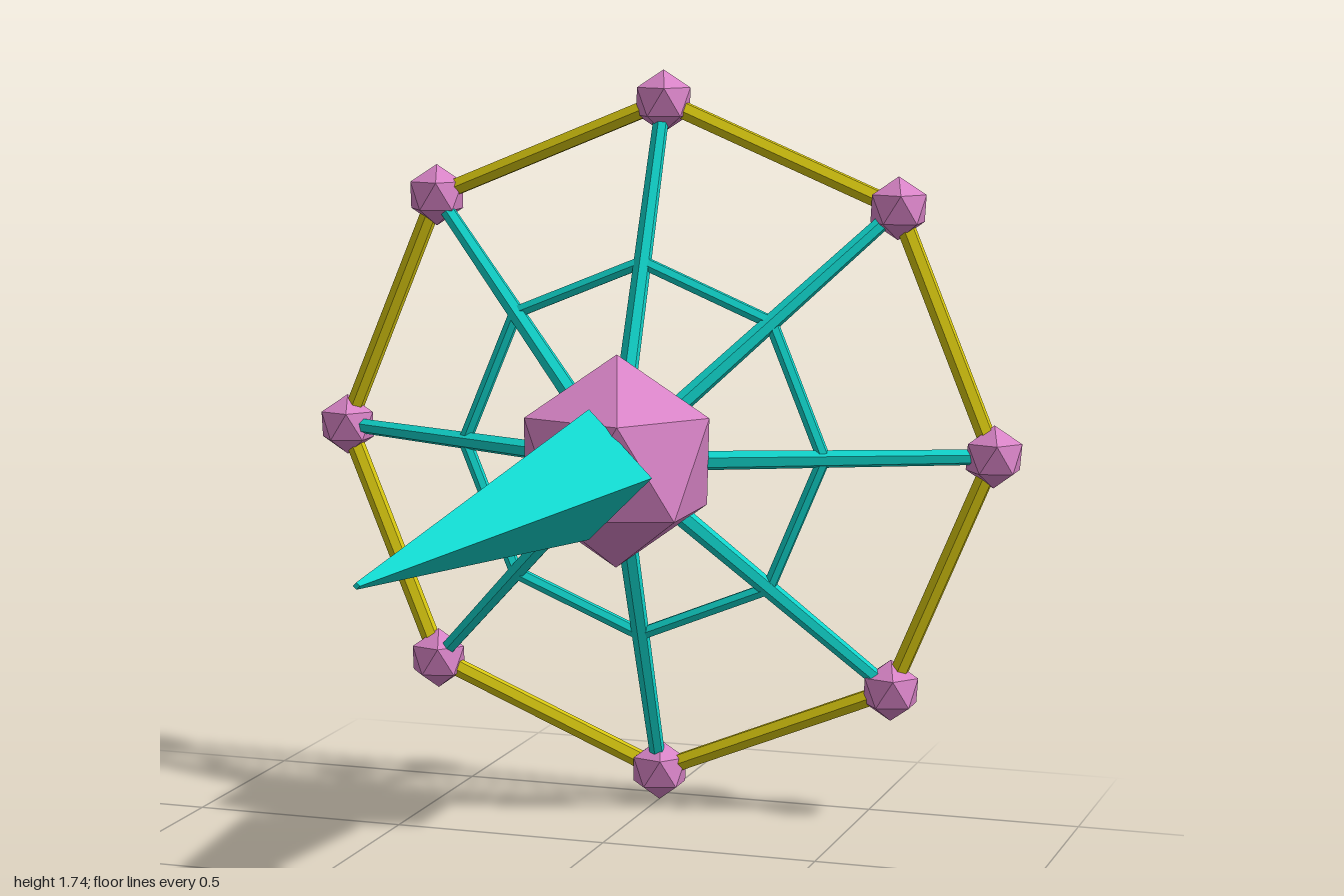
import * as THREE from 'three';

const CENTER_Y = 0.869, HUB_Z = -0.59, RIM_Z = -0.937;
const RIM_R = 0.796, WEB_R = 0.436, SPOKES = 8;

const material = (name, color) => {
  const m = new THREE.MeshStandardMaterial({ color, flatShading: true });
  m.name = name;
  return m;
};

export function createModel() {
  const pink = material('orchid pink', 0xda85c8);
  const teal = material('teal', 0x10d4cb);
  const yellow = material('mustard yellow', 0xd6c610);
  const model = new THREE.Group();
  model.name = 'spikedWebWheel';

  const add = (name, geometry, mat, position) => {
    const mesh = new THREE.Mesh(geometry, mat);
    mesh.name = name;
    mesh.position.copy(position);
    model.add(mesh);
    return mesh;
  };

  // Icosahedron standing on a vertex, with an upper ring vertex towards +x
  const gem = (radius) => new THREE.IcosahedronGeometry(radius, 0)
    .rotateX(-Math.atan((1 + Math.sqrt(5)) / 2))
    .rotateY(Math.PI / 2);

  // Six-sided bar between two points
  const up = new THREE.Vector3(0, 1, 0);
  const bar = (name, a, b, ra, rb, mat) => {
    const dir = b.clone().sub(a);
    const mid = a.clone().add(b).multiplyScalar(0.5);
    const mesh = add(name, new THREE.CylinderGeometry(rb, ra, dir.length(), 6), mat, mid);
    mesh.quaternion.setFromUnitVectors(up, dir.normalize());
  };

  const hub = new THREE.Vector3(0, CENTER_Y, HUB_Z);
  add('hub', gem(0.245), pink, hub);

  // Long four-sided spike pointing forward
  add('spike', new THREE.CylinderGeometry(0.007, 0.147, 1.39, 4).rotateX(Math.PI / 2),
    teal, new THREE.Vector3(0, CENTER_Y, 0.305));

  // Dished wheel: spokes, inner web, outer rim and rim gems
  const rimPoint = (i) => {
    const a = (i / SPOKES) * Math.PI * 2;
    return new THREE.Vector3(Math.cos(a) * RIM_R, CENTER_Y + Math.sin(a) * RIM_R, RIM_Z);
  };
  const webPoint = (i) => hub.clone().lerp(rimPoint(i), WEB_R / RIM_R);
  for (let i = 0; i < SPOKES; i++) {
    const tip = rimPoint(i);
    bar('spoke', hub.clone().lerp(tip, 0.18), tip, 0.023, 0.018, teal);
    bar('webBar', webPoint(i), webPoint(i + 1), 0.016, 0.016, teal);
    bar('rimBar', tip, rimPoint(i + 1), 0.022, 0.022, yellow);
    add('rimGem', gem(0.073), pink, tip);
  }
  return model;
}
